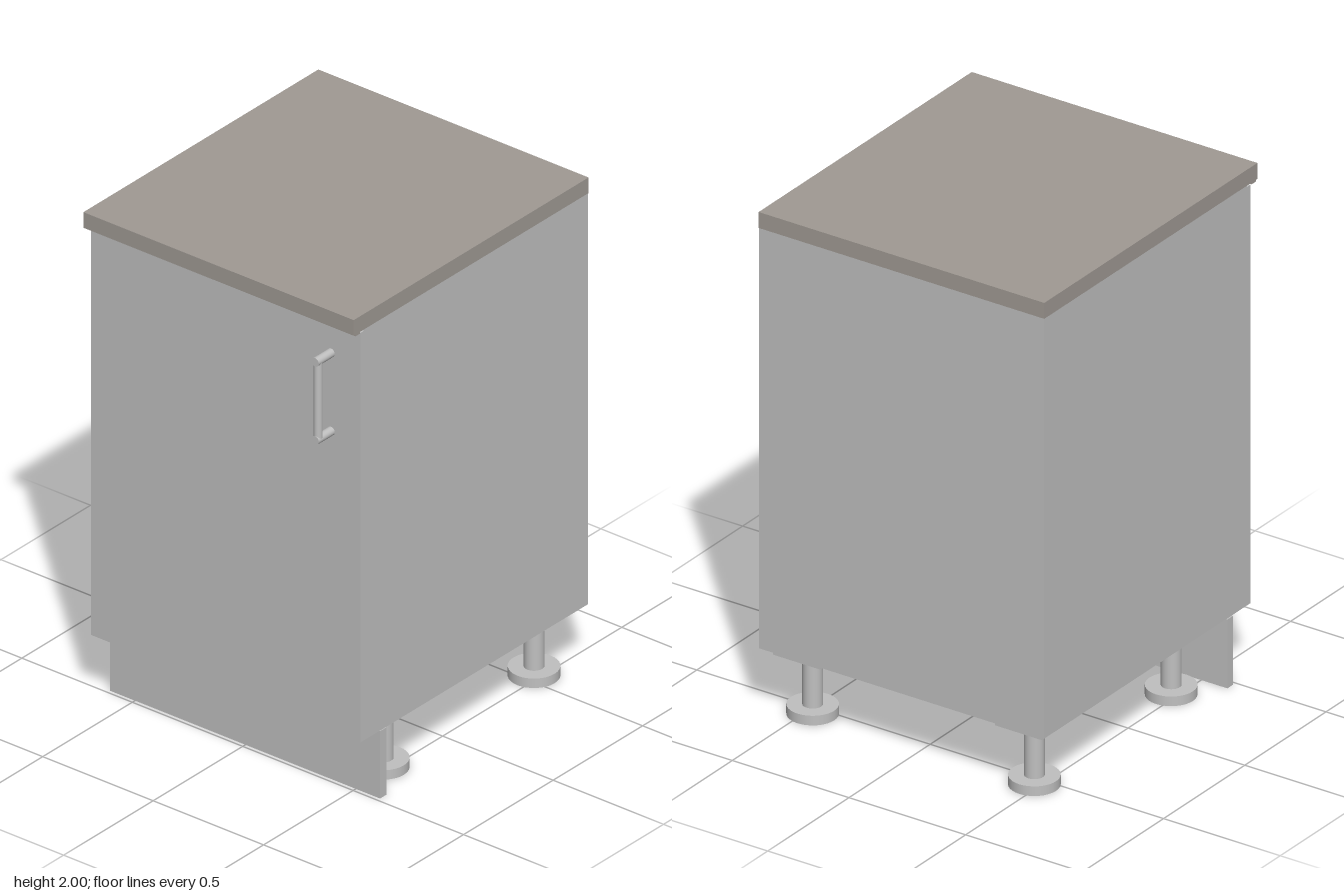
import * as THREE from 'three';

const grey = new THREE.MeshStandardMaterial({ color: 0xc0c0c0 });
grey.name = 'light grey';
const stone = new THREE.MeshStandardMaterial({ color: 0xa09a94 });
stone.name = 'worktop taupe';

// Box given by its min and max corners
function box(name, mat, [x0, y0, z0], [x1, y1, z1]) {
  const mesh = new THREE.Mesh(new THREE.BoxGeometry(x1 - x0, y1 - y0, z1 - z0), mat);
  mesh.position.set((x0 + x1) / 2, (y0 + y1) / 2, (z0 + z1) / 2);
  mesh.name = name;
  return mesh;
}

// Upright cylinder between two heights
function column(name, r, y0, y1) {
  const mesh = new THREE.Mesh(new THREE.CylinderGeometry(r, r, y1 - y0, 32), grey);
  mesh.position.y = (y0 + y1) / 2;
  mesh.name = name;
  return mesh;
}

function makeLeg(x, z) {
  const leg = new THREE.Group();
  leg.name = 'leg';
  leg.add(
    box('mountingPlate', grey, [-0.1, 0.245, -0.1], [0.1, 0.275, 0.1]),
    column('legColumn', 0.037, 0.035, 0.245),
    column('footDisc', 0.093, 0, 0.038),
  );
  leg.position.set(x, 0, z);
  return leg;
}

function makeHandle() {
  const handle = new THREE.Group();
  handle.name = 'handle';
  handle.add(column('handleBar', 0.016, 1.487, 1.803));
  handle.children[0].position.z = 0.667;
  for (const y of [1.487, 1.803]) {
    const post = new THREE.Mesh(new THREE.CylinderGeometry(0.017, 0.017, 0.09, 24), grey);
    post.rotation.x = Math.PI / 2;
    post.position.set(0, y, 0.639);
    post.name = 'handlePost';
    handle.add(post);
  }
  handle.position.x = 0.477;
  return handle;
}

export function createModel() {
  const model = new THREE.Group();
  model.name = 'baseCabinet';
  model.add(
    // Carcass with the door flush on its front
    box('carcass', grey, [-0.61, 0.275, -0.677], [0.61, 1.937, 0.575]),
    box('door', grey, [-0.61, 0.275, 0.575], [0.61, 1.93, 0.595]),
    // Worktop with a small drip lip under its front edge
    box('worktop', stone, [-0.612, 1.937, -0.677], [0.612, 2, 0.635]),
    box('worktopLip', stone, [-0.612, 1.93, 0.6], [0.612, 1.937, 0.625]),
    // Recessed plinth board
    box('plinth', grey, [-0.612, 0, 0.45], [0.61, 0.272, 0.485]),
    makeHandle(),
  );
  for (const x of [-0.475, 0.475]) for (const z of [-0.541, 0.301]) model.add(makeLeg(x, z));
  return model;
}
